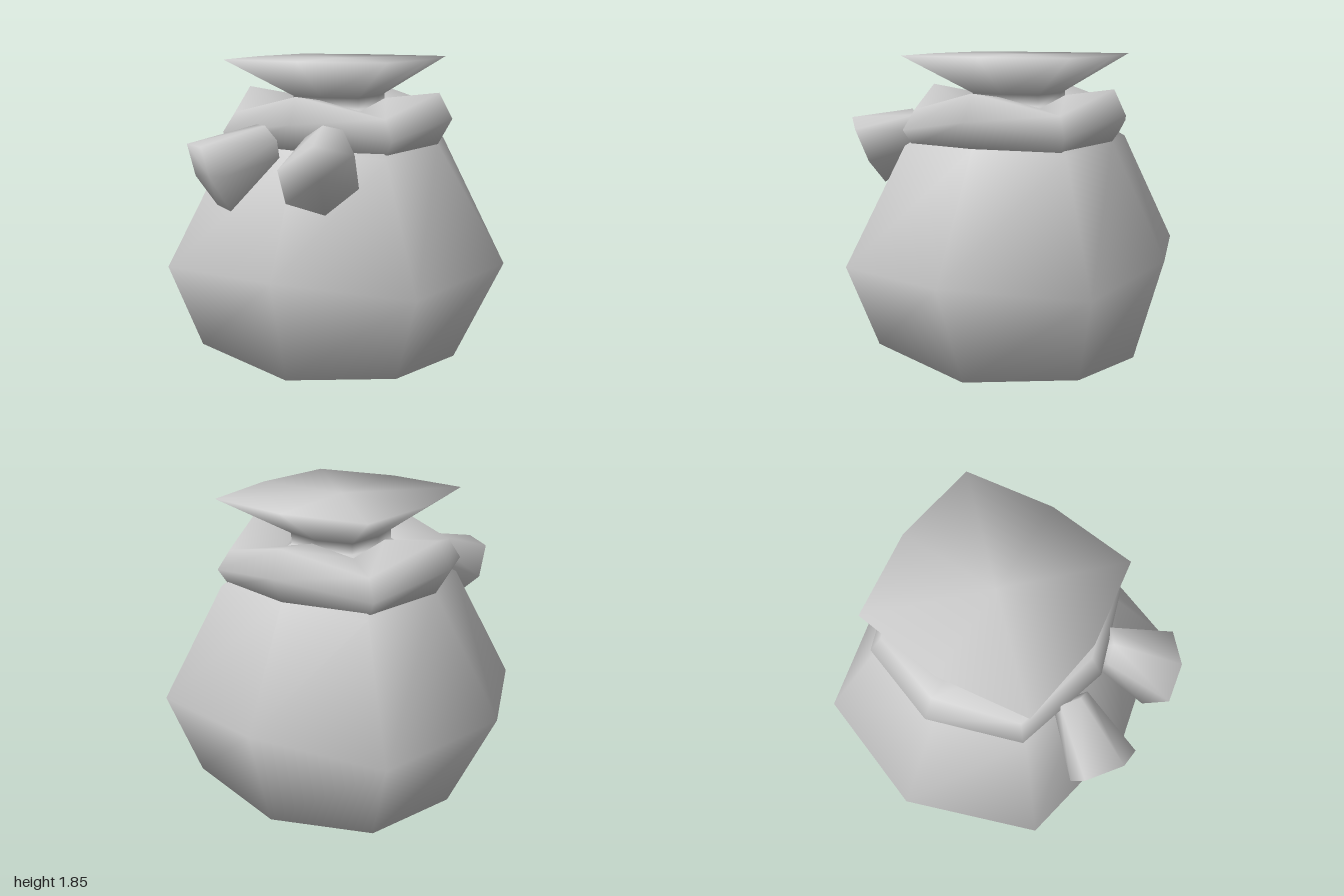
import * as THREE from 'three';
import { mergeVertices } from 'three/addons/utils/BufferGeometryUtils.js';

const material = new THREE.MeshStandardMaterial({ color: 0xcccccc });
const centreZ = -0.06;

// Eight-point ring: side midpoints (mx, mz, y) and corners (cx, cz, cy).
function ring(mx, mz, y, cx, cz, cy = y) {
  return [
    [0, y, mz], [cx, cy, cz], [mx, y, 0], [cx, cy, -cz],
    [0, y, -mz], [-cx, cy, -cz], [-mx, y, 0], [-cx, cy, cz],
  ].map(([x, h, z]) => [x, h, z + centreZ]);
}

// A ring shrunk to a single point, used to close an end.
function pole(point, count) {
  return Array.from({ length: count }, () => point);
}

// Smooth skin stretched over a series of rings.
function loft(name, rings) {
  const n = rings[0].length;
  const index = [];
  for (let i = 0; i < rings.length - 1; i++) {
    for (let j = 0; j < n; j++) {
      const k = (j + 1) % n;
      const a = i * n + j, b = i * n + k;
      index.push(a, b, b + n, a, b + n, a + n);
    }
  }
  let geometry = new THREE.BufferGeometry();
  geometry.setAttribute('position', new THREE.Float32BufferAttribute(rings.flat(2), 3));
  geometry.setIndex(index);
  geometry = mergeVertices(geometry, 1e-4);
  geometry.computeVertexNormals();
  const mesh = new THREE.Mesh(geometry, material);
  mesh.name = name;
  return mesh;
}

// Flared tail of the knot: a small hexagon near the collar opening to a wide end.
function tail(name, root, wideEnd) {
  const centre = [0, 1, 2].map((k) => wideEnd.reduce((s, p) => s + p[k], 0) / 6);
  const narrowEnd = wideEnd.map((p) => p.map((v, k) => root[k] + (v - centre[k]) * 0.52));
  return loft(name, [pole(root, 6), narrowEnd, wideEnd, pole(centre, 6)]);
}

export function createModel() {
  const model = new THREE.Group();
  model.name = 'tiedSack';

  // Sack: rounded belly, pinched neck and flared, closed mouth
  model.add(loft('sack', [
    pole([0, 0, centreZ], 8),
    ring(0.73, 0.72, 0.145, 0.6, 0.61, 0.22),
    ring(1, 0.88, 0.74, 0.74, 0.72, 0.7),
    ring(0.6, 0.56, 1.385, 0.48, 0.48, 1.36),
    ring(0.24, 0.25, 1.58, 0.2, 0.2),
    ring(0.24, 0.25, 1.64, 0.2, 0.2),
    ring(0.54, 0.56, 1.85, 0.48, 0.49),
    pole([0, 1.85, centreZ], 8),
  ]));

  // Collar: thick band around the neck, drooping at its corners
  const under = ring(0.6, 0.56, 1.385, 0.46, 0.44, 1.36);
  model.add(loft('collar', [
    under,
    ring(0.68, 0.635, 1.53, 0.505, 0.475, 1.45),
    ring(0.6, 0.565, 1.67, 0.45, 0.43, 1.56),
    ring(0.28, 0.28, 1.63, 0.22, 0.22, 1.57),
    ring(0.25, 0.25, 1.47, 0.2, 0.2, 1.44),
    under,
  ]));

  // Two tails of the knot, splayed forward and down
  model.add(tail('leftTail', [0.17, 1.44, 0.5], [
    [0.1, 1.17, 0.82], [0.26, 1.1, 0.7], [0.44, 1.25, 0.69],
    [0.45, 1.43, 0.77], [0.29, 1.48, 0.9], [0.12, 1.36, 0.94],
  ]));
  model.add(tail('rightTail', [-0.17, 1.43, 0.5], [
    [-0.5, 1.25, 0.71], [-0.35, 1.11, 0.74], [-0.2, 1.11, 0.85],
    [-0.19, 1.3, 0.92], [-0.33, 1.44, 0.91], [-0.5, 1.43, 0.78],
  ]));

  return model;
}
